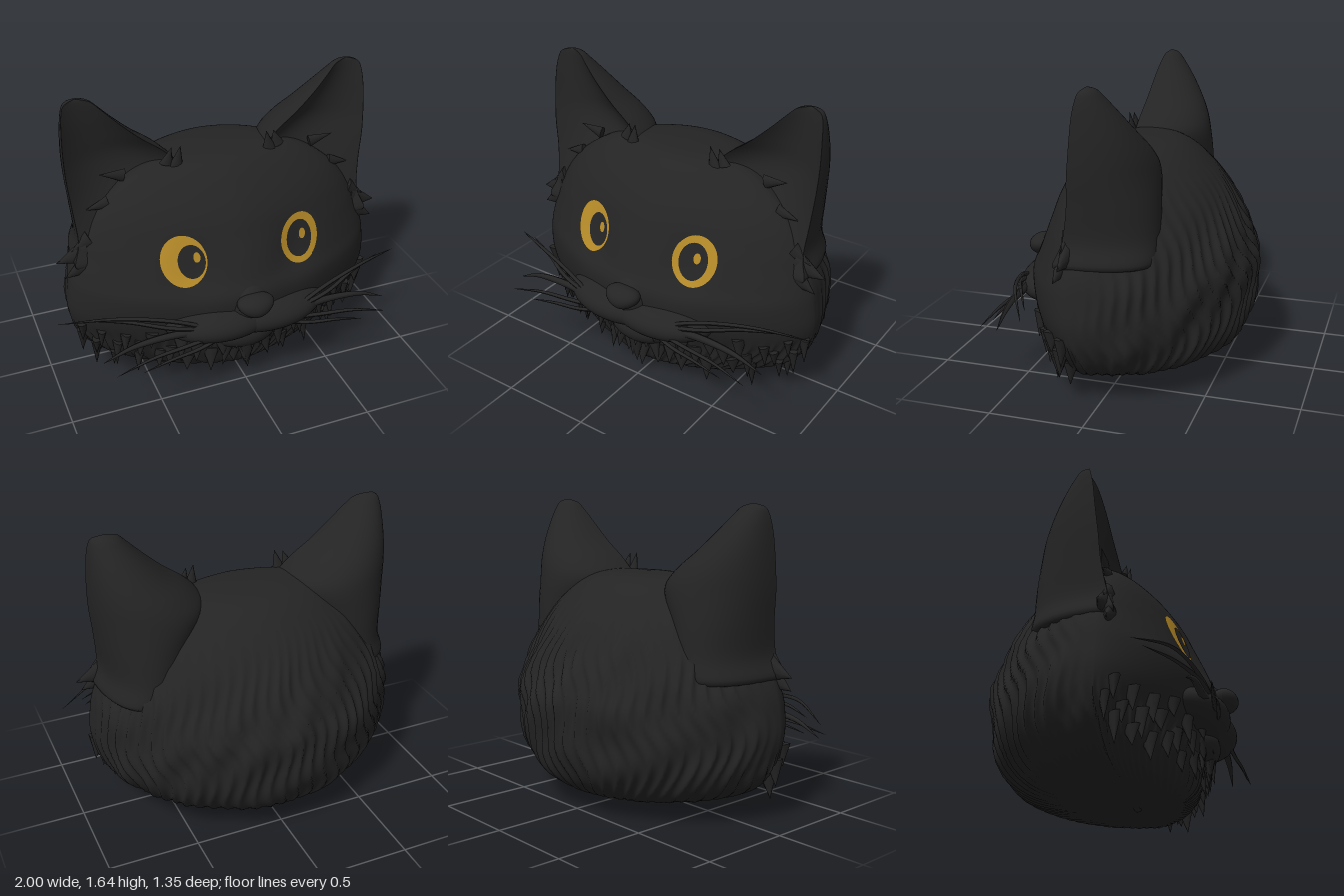
import * as THREE from 'three';
import { mergeGeometries } from 'three/addons/utils/BufferGeometryUtils.js';

const V = (x, y, z) => new THREE.Vector3(x, y, z);
const smooth = THREE.MathUtils.smoothstep;

// Head rows: height, half width, front z, back z
const HEAD = [
  [0.02, 0, 0.1, 0.1], [0.028, 0.28, 0.33, -0.14], [0.055, 0.48, 0.4, -0.34], [0.1, 0.62, 0.44, -0.47],
  [0.18, 0.76, 0.47, -0.57], [0.3, 0.85, 0.51, -0.63], [0.45, 0.89, 0.56, -0.65], [0.6, 0.88, 0.58, -0.66],
  [0.7, 0.86, 0.54, -0.63], [0.8, 0.82, 0.5, -0.59], [0.9, 0.78, 0.455, -0.54], [1.0, 0.72, 0.41, -0.48],
  [1.1, 0.63, 0.345, -0.4], [1.2, 0.48, 0.255, -0.29], [1.25, 0.3, 0.17, -0.18], [1.265, 0, 0, 0],
];
// Ear rows: height, inner x, outer x, front z, back z, hollow depth
const EAR = [
  [0.74, 0.5, 0.8, 0.18, -0.22, 0], [0.77, 0.45, 0.85, 0.2, -0.27, 0], [0.88, 0.38, 0.815, 0.16, -0.275, 0],
  [1.05, 0.31, 0.825, 0.13, -0.27, 0.03],
  [1.2, 0.24, 0.84, 0.12, -0.255, 0.08], [1.3, 0.31, 0.845, 0.11, -0.225, 0.09], [1.4, 0.44, 0.845, 0.1, -0.17, 0.07],
  [1.5, 0.55, 0.84, 0.09, -0.105, 0.05], [1.58, 0.63, 0.83, 0.075, -0.045, 0.03], [1.625, 0.68, 0.81, 0.06, -0.005, 0.015],
  [1.643, 0.75, 0.75, 0.04, 0.04, 0],
];

// Smooth interpolation of a row table at fractional index u
function rowAt(rows, u) {
  const last = rows.length - 1, i = Math.min(Math.floor(u), last - 1), f = u - i;
  const r = (k) => rows[Math.max(0, Math.min(last, k))];
  return rows[0].map((_, c) => {
    const a = r(i - 1)[c], b = r(i)[c], d = r(i + 1)[c], e = r(i + 2)[c];
    return b + 0.5 * f * (d - a + f * (2 * a - 5 * b + 4 * d - e + f * (3 * (b - d) + e - a)));
  });
}
function headRow(y) {
  let lo = 0, hi = HEAD.length - 1;
  for (let k = 0; k < 30; k++) {
    const mid = (lo + hi) / 2;
    if (rowAt(HEAD, mid)[0] < y) lo = mid; else hi = mid;
  }
  return rowAt(HEAD, lo);
}
const midZ = ([, w, f, b]) => (f + b) / 2 + 0.16 * Math.min(1, w / 0.8);
// Shallow eye sockets
const socket = (x, y) => 0.03 * Math.exp(-(((Math.abs(x) - 0.27) / 0.13) ** 2) - ((y - 0.76) / 0.14) ** 2);

// Point on the head; the fur ridges run over the back and underside
function headPoint(row, t) {
  const [y, w, f, b] = row, zc = midZ(row), c = Math.cos(t), s = Math.sin(t), e = 2 / (s > 0 ? 1.6 : 1.9);
  const x = w * Math.sign(c) * Math.abs(c) ** e;
  const dz = Math.abs(s) ** e * (s > 0 ? f - zc : b - zc);
  const mask = Math.max(1 - smooth(zc + dz, -0.25, 0.15), 1 - smooth(y, 0.25, 0.42)) * (1 - smooth(y, 0.75, 1.2));
  const strand = 1 - 2 * Math.abs(Math.sin(32 * t + 2 * Math.sin(5 * y) + 1.2 * Math.sin(13 * y + 4 * t)));
  const clump = Math.sin(17 * t + 3 * Math.sin(6 * y + 3 * t)) + 0.7 * Math.sin(19 * y + 11 * t);
  const k = 1 + mask * (0.014 * strand + 0.008 * clump);
  return V(x * k, y, zc + dz * k - (s > 0 ? socket(x, y) : 0));
}
// Front surface of the face
function faceZ(x, y) {
  const row = headRow(y), zc = midZ(row);
  return zc + (row[2] - zc) * (1 - Math.min(1, Math.abs(x) / row[1]) ** 1.6) ** (1 / 1.6) - socket(x, y);
}

// Closed skin over cross-section loops
function loft(rowCount, cols, point) {
  const pos = [], idx = [];
  for (let i = 0; i <= rowCount; i++) for (let j = 0; j < cols; j++) {
    pos.push(...point(i / rowCount, (j / cols) * Math.PI * 2).toArray());
    if (i === rowCount) continue;
    const a = i * cols + j, b = i * cols + (j + 1) % cols;
    idx.push(a, a + cols, b, b, a + cols, b + cols);
  }
  const g = new THREE.BufferGeometry();
  g.setAttribute('position', new THREE.Float32BufferAttribute(pos, 3));
  g.setIndex(idx);
  g.computeVertexNormals();
  return g;
}
function earGeometry(side) {
  return loft(44, 48, (v, t) => {
    const [y, xi, xo, zf, zb, dent] = rowAt(EAR, v * (EAR.length - 1));
    const c = Math.cos(t), s = Math.sin(t * side);
    const x = (xi + xo) / 2 + (xo - xi) / 2 * c;
    const z = s > 0 ? zf - dent * s * s : zf + (zb - zf) * Math.abs(s) ** 0.8;
    return V(side * x, y, z);
  });
}
// Pointed lock of fur from a base point along a direction
function lock(base, dir, length, radius) {
  const g = new THREE.ConeGeometry(radius, length, 8, 3);
  g.translate(0, length * 0.3, 0);
  g.scale(1, 1, 0.55);
  g.applyQuaternion(new THREE.Quaternion().setFromUnitVectors(V(0, 1, 0), dir.clone().normalize()));
  return g.translate(base.x, base.y, base.z);
}
// Tapered whisker
function whisker(points, radius) {
  const curve = new THREE.CatmullRomCurve3(points), n = 20, k = 6;
  const g = new THREE.TubeGeometry(curve, n, radius, k), p = g.attributes.position, v = V(0, 0, 0);
  for (let i = 0; i < p.count; i++) {
    const u = Math.floor(i / (k + 1)) / n, c = curve.getPointAt(u);
    v.fromBufferAttribute(p, i).sub(c).multiplyScalar(1 - u ** 3).add(c);
    p.setXYZ(i, v.x, v.y, v.z);
  }
  g.computeVertexNormals();
  return g;
}
// Thin oval plate that follows the face
function facePlate(cx, cy, rx, ry, lift) {
  const g = new THREE.RingGeometry(0.001, 1, 40, 8), p = g.attributes.position;
  for (let i = 0; i < p.count; i++) {
    const x = cx + p.getX(i) * rx, y = cy + p.getY(i) * ry;
    p.setXYZ(i, x, y, faceZ(x, y) + lift);
  }
  g.computeVertexNormals();
  return g;
}
function blob(x, y, z, rx, ry, rz) {
  return new THREE.SphereGeometry(1, 36, 24).scale(rx, ry, rz).translate(x, y, z);
}

export function createModel() {
  const group = new THREE.Group();
  const fur = new THREE.MeshStandardMaterial({ color: 0x242424 });
  fur.name = 'black fur';
  const gold = new THREE.MeshStandardMaterial({ color: 0xb58a28 });
  gold.name = 'gold iris';
  const add = (name, geometry, material = fur) => {
    const m = new THREE.Mesh(geometry, material);
    m.name = name;
    group.add(m);
  };

  add('head', loft(100, 400, (v, t) => headPoint(rowAt(HEAD, v * (HEAD.length - 1)), t)));

  // Muzzle, chin and nose
  add('muzzle', mergeGeometries([
    blob(0.13, 0.45, 0.43, 0.33, 0.12, 0.215), blob(-0.13, 0.45, 0.43, 0.33, 0.12, 0.215),
    blob(0, 0.55, 0.48, 0.13, 0.14, 0.14),
  ]));
  add('chin', blob(0, 0.33, 0.44, 0.2, 0.11, 0.13));
  const nose = new THREE.SphereGeometry(1, 32, 20), np = nose.attributes.position;
  for (let i = 0; i < np.count; i++) np.setX(i, np.getX(i) * (0.85 + 0.25 * np.getY(i)));
  nose.scale(0.115, 0.065, 0.075).translate(0, 0.58, 0.605);
  nose.computeVertexNormals();
  add('nose', nose);

  // Eyes
  const eyes = [
    { name: 'left', iris: [0.33, 0.82, 0.12, 0.132], pupil: [0.325, 0.818, 0.079, 0.097], glint: [0.345, 0.838, 0.02, 0.028] },
    { name: 'right', iris: [-0.33, 0.82, 0.12, 0.132], pupil: [-0.291, 0.816, 0.071, 0.088], glint: [-0.263, 0.838, 0.018, 0.028] },
  ];
  for (const e of eyes) {
    add(e.name + 'Iris', facePlate(...e.iris, 0.007), gold);
    add(e.name + 'Pupil', facePlate(...e.pupil, 0.011));
    add(e.name + 'Glint', facePlate(...e.glint, 0.015), gold);
  }

  for (const [s, side] of [[1, 'left'], [-1, 'right']]) {
    add(side + 'Ear', earGeometry(s));

    // Fur at the ear base and cheek
    add(side + 'EarTufts', mergeGeometries([
      lock(V(s * 0.26, 1.25, 0.14), V(-s * 0.2, 1, 0.1), 0.12, 0.04),
      lock(V(s * 0.31, 1.26, 0.13), V(-s * 0.3, 1, 0.1), 0.1, 0.04),
      lock(V(s * 0.56, 1.2, 0.08), V(s, 0.25, 0.1), 0.14, 0.04),
      lock(V(s * 0.66, 1.07, 0.12), V(s, -0.2, 0), 0.13, 0.04),
    ]));
    add(side + 'CheekTufts', mergeGeometries([
      lock(V(s * 0.8, 0.81, 0.14), V(s, -0.25, 0), 0.18, 0.085),
      lock(V(s * 0.82, 0.74, 0.17), V(s, -0.5, 0.1), 0.12, 0.06),
      lock(V(s * 0.77, 0.88, 0.15), V(s, -0.5, 0), 0.12, 0.06),
    ]));

    // Whiskers
    const w = (...pts) => pts.map(([x, y, z]) => V(s * x, y, z));
    add(side + 'Whiskers', mergeGeometries([
      whisker(w([0.25, 0.48, 0.58], [0.45, 0.55, 0.54], [0.72, 0.58, 0.46], [1.0, 0.515, 0.31]), 0.012),
      whisker(w([0.25, 0.47, 0.58], [0.45, 0.51, 0.55], [0.65, 0.54, 0.46], [0.88, 0.53, 0.34]), 0.012),
      whisker(w([0.25, 0.45, 0.58], [0.4, 0.46, 0.55], [0.65, 0.44, 0.54], [0.82, 0.37, 0.53]), 0.022),
      whisker(w([0.2, 0.43, 0.59], [0.38, 0.41, 0.6], [0.58, 0.4, 0.62], [0.78, 0.36, 0.645]), 0.012),
      whisker(w([0.18, 0.41, 0.59], [0.32, 0.38, 0.61], [0.48, 0.37, 0.63], [0.64, 0.34, 0.64]), 0.011),
    ]));
  }

  // Short ruff of locks round the jaw
  const jaw = [];
  for (let r = 0; r < 3; r++) for (let i = 0; i < 15; i++) {
    const t = Math.PI * (0.06 + 0.88 * (i + (r % 2) * 0.5) / 14.5);
    const p = headPoint(headRow(0.2 + 0.08 * r + 0.025 * Math.sin(i * 2.4)), t);
    jaw.push(lock(p, V(0.1 * Math.cos(t), -1, 0.15 * Math.sin(t)), 0.13 + 0.03 * Math.sin(i * 3.7 + r), 0.05));
  }
  add('jawFur', mergeGeometries(jaw));
  add('chinLocks', mergeGeometries([
    lock(V(0, 0.27, 0.51), V(0, -1, -0.05), 0.22, 0.07),
    lock(V(0.11, 0.26, 0.49), V(0.2, -1, 0), 0.17, 0.05),
    lock(V(-0.11, 0.26, 0.49), V(-0.2, -1, 0), 0.17, 0.05),
    lock(V(0, 0.05, 0.12), V(0, -1, 0), 0.06, 0.12),
  ]));
  return group;
}
